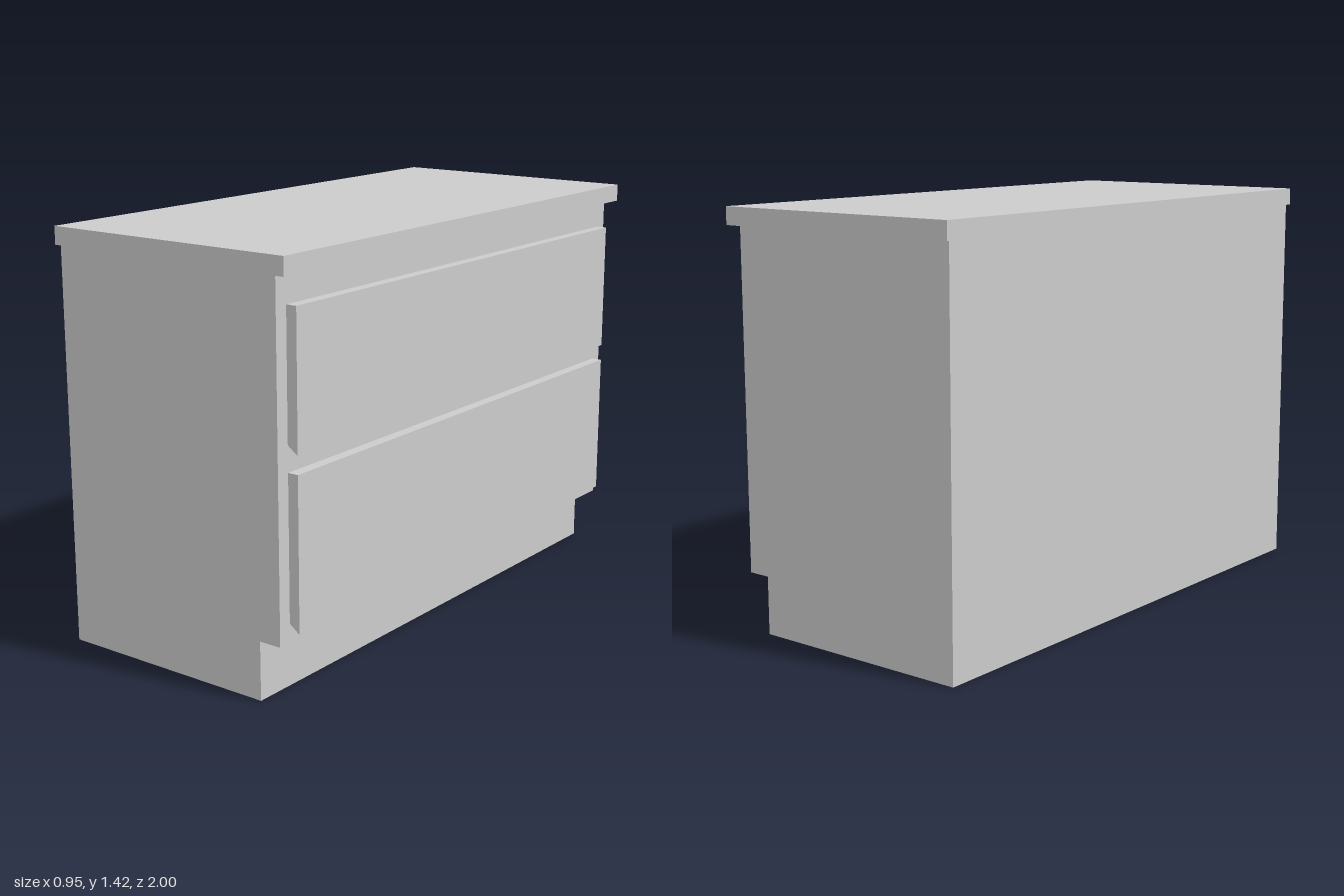
import * as THREE from 'three';

const material = new THREE.MeshStandardMaterial({ color: 0xcccccc, flatShading: true });

// Extrudes an x/y side profile along z, centred on z = 0
function addProfile(group, name, points, length) {
  const shape = new THREE.Shape(points.map(([x, y]) => new THREE.Vector2(x, y)));
  const geometry = new THREE.ExtrudeGeometry(shape, { depth: length, bevelEnabled: false });
  geometry.translate(0, 0, -length / 2);
  const mesh = new THREE.Mesh(geometry, material);
  mesh.name = name;
  group.add(mesh);
}

export function createModel() {
  const group = new THREE.Group();
  group.name = 'drawerCabinet';

  const back = -0.468, face = 0.426, toe = 0.345;

  // Carcass with a recessed toe kick under the drawer side
  addProfile(group, 'cabinetBody', [
    [back, 0], [toe, 0], [toe, 0.2], [face, 0.2], [face, 1.364], [back, 1.364],
  ], 1.966);

  // Overhanging worktop
  addProfile(group, 'countertop', [
    [-0.475, 1.364], [0.472, 1.364], [0.472, 1.425], [-0.475, 1.425],
  ], 2);

  // Drawer fronts, undercut at the bottom as a finger pull
  const drawers = [
    ['upperDrawerFront', 0.81, 1.268],
    ['lowerDrawerFront', 0.236, 0.751],
  ];
  for (const [name, bottom, top] of drawers) {
    addProfile(group, name, [
      [face, bottom + 0.028], [0.464, bottom], [0.464, top], [face, top],
    ], 1.87);
  }

  return group;
}
